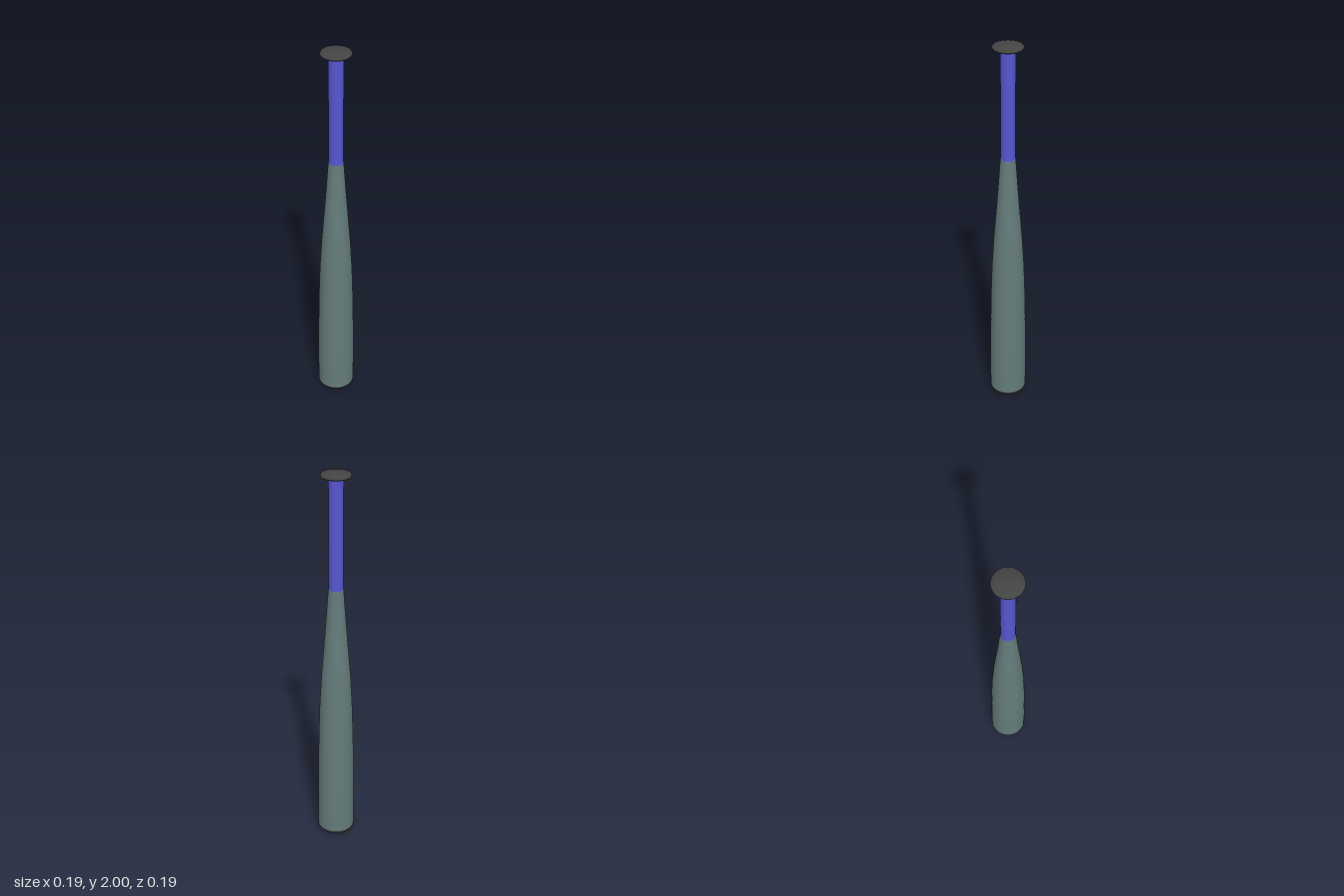
import * as THREE from 'three';

const SEGMENTS = 48;

// Revolve a [radius, height] profile, listed from bottom to top.
function turned(name, color, profile) {
  const points = profile.map(([r, y]) => new THREE.Vector2(r, y));
  const mesh = new THREE.Mesh(
    new THREE.LatheGeometry(points, SEGMENTS),
    new THREE.MeshStandardMaterial({ color })
  );
  mesh.name = name;
  return mesh;
}

export function createModel() {
  const bat = new THREE.Group();
  bat.name = 'bat';

  // Rounded cap closing the wide end
  bat.add(turned('endCap', 0x444040, [
    [0, 0], [0.04, 0.003], [0.07, 0.009], [0.085, 0.016], [0.092, 0.025], [0.095, 0.037],
  ]));

  // Barrel, nearly straight below and tapering to the grip
  bat.add(turned('barrel', 0x647c7a, [
    [0.095, 0.037], [0.095, 0.2], [0.093, 0.4], [0.089, 0.6], [0.083, 0.78],
    [0.073, 0.95], [0.061, 1.1], [0.049, 1.25], [0.038, 1.41],
  ]));

  // Straight coloured grip
  bat.add(turned('grip', 0x5656d0, [
    [0.038, 1.41], [0.036, 1.418], [0.036, 1.97],
  ]));

  // Knob with a flat underside, thin rim and domed top
  bat.add(turned('knob', 0x444444, [
    [0.03, 1.964], [0.05, 1.966], [0.068, 1.971], [0.074, 1.976], [0.075, 1.981],
    [0.072, 1.987], [0.06, 1.992], [0.035, 1.998], [0, 2],
  ]));

  return bat;
}
